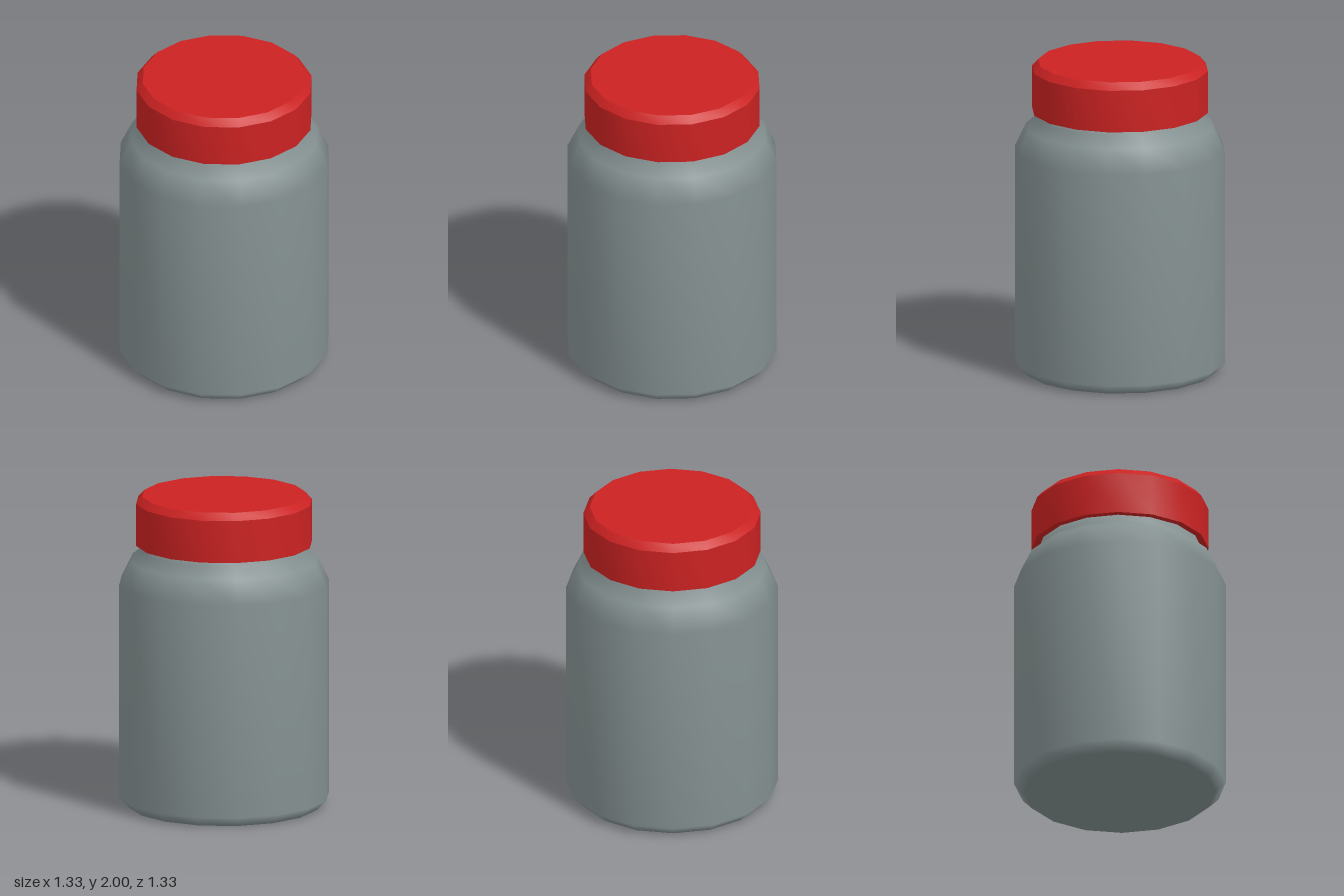
import * as THREE from 'three';
import { mergeVertices, toCreasedNormals } from 'three/addons/utils/BufferGeometryUtils.js';

const SIDES = 16;

// Revolve a [radius, height] profile, listed from the bottom up
function revolve(profile) {
  return new THREE.LatheGeometry(profile.map(([r, y]) => new THREE.Vector2(r, y)), SIDES);
}

// Share vertices so shading is smooth over every edge
function smooth(geometry) {
  geometry.deleteAttribute('normal');
  geometry.deleteAttribute('uv');
  const merged = mergeVertices(geometry);
  merged.computeVertexNormals();
  return merged;
}

export function createModel() {
  const model = new THREE.Group();
  model.name = 'jar';

  const grey = new THREE.MeshStandardMaterial({ color: 0x859192 });
  grey.name = 'grey body';
  const red = new THREE.MeshStandardMaterial({ color: 0xcc2222 });
  red.name = 'red lid';

  // Body: bevelled foot, straight wall, rounded shoulder and neck
  const body = new THREE.Mesh(smooth(revolve([
    [0, 0], [0.6, 0], [0.665, 0.065], [0.665, 1.435],
    [0.592, 1.585], [0.515, 1.65], [0.515, 1.75], [0, 1.75],
  ])), grey);
  body.name = 'body';

  // Lid: closed underside, round wall, crisp bevel and flat top
  const lid = new THREE.Mesh(toCreasedNormals(revolve([
    [0, 1.685], [0.557, 1.685], [0.557, 1.955], [0.517, 2], [0, 2],
  ]), 0.55), red);
  lid.name = 'lid';

  model.add(body, lid);
  return model;
}
